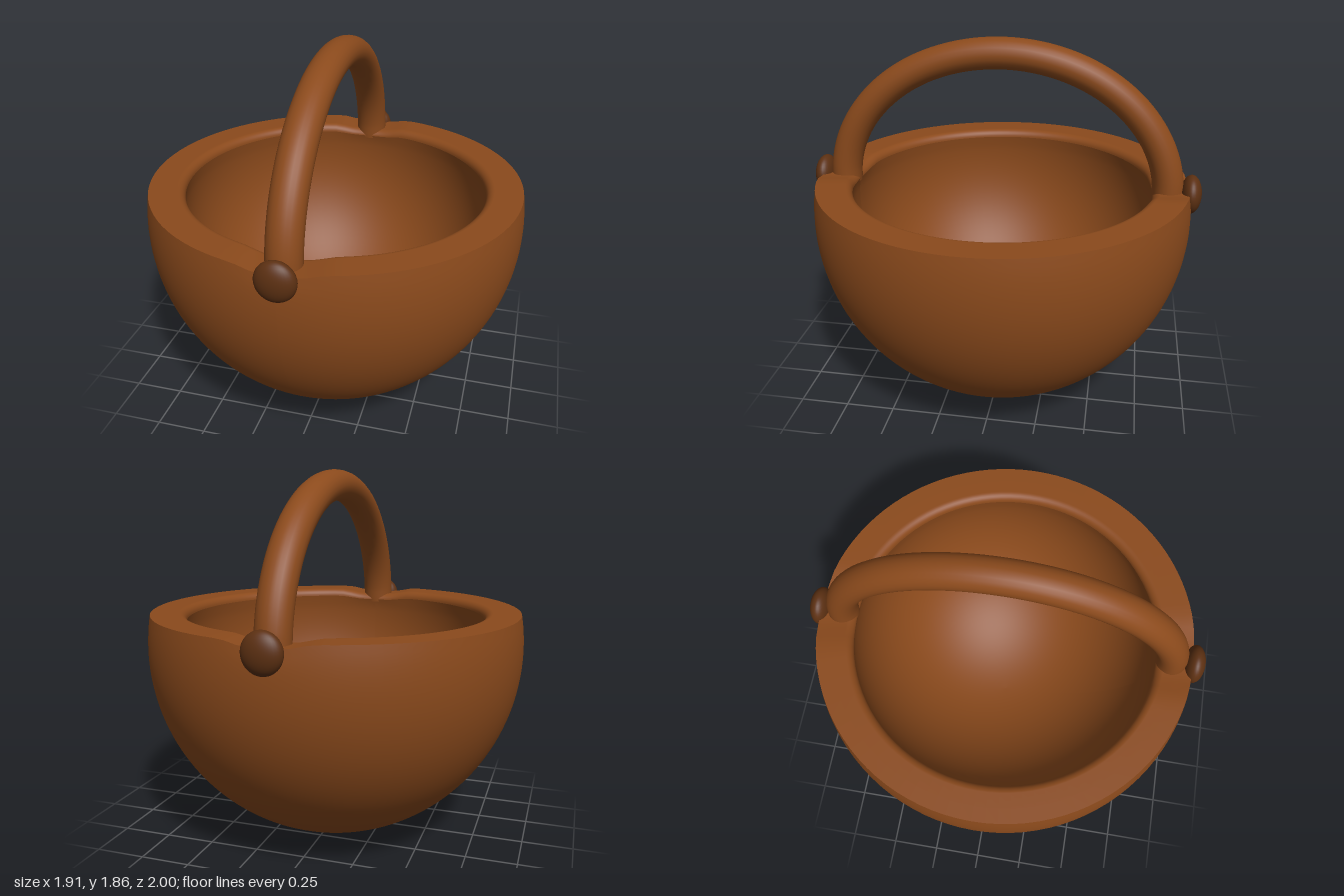
import * as THREE from 'three';

export function createModel() {
  const model = new THREE.Group();
  const wood = new THREE.MeshStandardMaterial({ color: 0x8b4a1c, side: THREE.DoubleSide });
  const darkWood = new THREE.MeshStandardMaterial({ color: 0x5c3012 });

  const add = (name, geometry, material) => {
    const mesh = new THREE.Mesh(geometry, material);
    mesh.name = name;
    model.add(mesh);
    return mesh;
  };

  // Profile arc of an ellipse, from angle a to b (0 = outermost, -PI/2 = bottom)
  const arc = (cx, cy, rx, ry, a, b, n) => Array.from({ length: n + 1 }, (_, i) => {
    const t = a + (b - a) * i / n;
    return new THREE.Vector2(Math.max(0, cx + rx * Math.cos(t)), cy + ry * Math.sin(t));
  });

  // The rim dips slightly where the handle meets it
  const dipRim = (geometry) => {
    const p = geometry.attributes.position;
    for (let i = 0; i < p.count; i++) {
      const weight = THREE.MathUtils.smoothstep(p.getY(i), 1.05, 1.15);
      p.setY(i, p.getY(i) - 0.025 * weight * Math.exp(-((p.getX(i) / 0.16) ** 4)));
    }
    geometry.computeVertexNormals();
    return geometry;
  };
  const lathe = (points) => dipRim(new THREE.LatheGeometry(points, 96));

  // Round basket: outer shell, flat rim with a softened inner lip, hollow inside
  const rimY = 1.155;
  const shellTop = Math.asin((rimY - 0.98) / 0.98);
  const outer = arc(0, 0.98, 0.955, 0.98, -Math.PI / 2, shellTop, 40);
  add('bowlOutside', lathe(outer), wood);
  const lip = arc(0.8, rimY - 0.04, 0.04, 0.04, Math.PI / 2, Math.PI, 8);
  add('bowlRim', lathe([outer[outer.length - 1], new THREE.Vector2(0.87, rimY), ...lip]), wood);
  add('bowlInside', lathe([
    new THREE.Vector2(0.76, rimY - 0.04),
    ...arc(0, 0.97, 0.775, 0.79, 0.12, -Math.PI / 2, 36),
  ]), wood);

  // Arched handle running from front to back
  const path = new THREE.CatmullRomCurve3(
    Array.from({ length: 25 }, (_, i) => {
      const t = Math.PI * i / 24;
      return new THREE.Vector3(0, 1.09 + 0.69 * Math.sin(t), 0.835 * Math.cos(t));
    })
  );
  const handle = add('handle', new THREE.TubeGeometry(path, 80, 0.077, 24), wood);
  handle.scale.x = 1.08;

  // Flattened pegs that pin the handle ends
  for (const [name, side] of [['frontPeg', 1], ['backPeg', -1]]) {
    const peg = add(name, new THREE.SphereGeometry(1, 32, 20), darkWood);
    peg.scale.set(0.095, 0.097, 0.052);
    peg.position.set(0, 1.113, side * 0.948);
  }

  return model;
}
